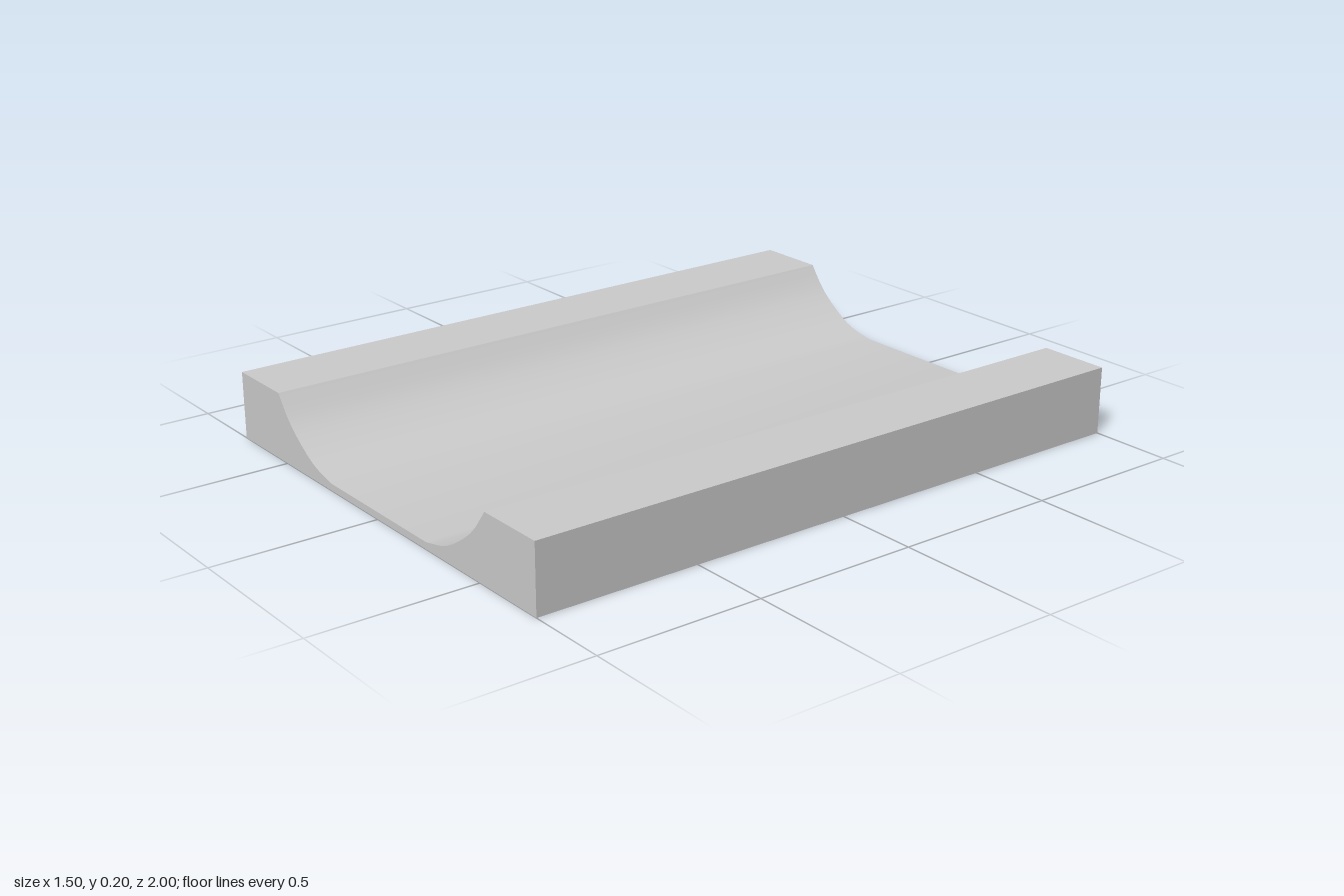
import * as THREE from 'three';
import { toCreasedNormals } from 'three/addons/utils/BufferGeometryUtils.js';

const LENGTH = 2, HALF_WIDTH = 0.75, HEIGHT = 0.205;

// One bank of the channel, from the rim down to the flat floor
const bank = [[0.53, HEIGHT], [0.475, 0.135], [0.405, 0.08], [0.335, 0.042], [0.245, 0.021]];

export function createModel() {
  const group = new THREE.Group();
  group.name = 'channelSlab';

  // Cross-section: flat slab with a shallow trough between two flat shoulders
  const curve = new THREE.SplineCurve(bank.map(([x, y]) => new THREE.Vector2(x, y)));
  const right = curve.getPoints(10);
  const left = right.map(p => new THREE.Vector2(-p.x, p.y)).reverse();
  const section = new THREE.Shape([
    new THREE.Vector2(-HALF_WIDTH, 0),
    new THREE.Vector2(HALF_WIDTH, 0),
    new THREE.Vector2(HALF_WIDTH, HEIGHT),
    ...right,
    ...left,
    new THREE.Vector2(-HALF_WIDTH, HEIGHT),
  ]);

  // Sweep along z; banks stay smooth, rims and outer edges stay sharp
  const geometry = new THREE.ExtrudeGeometry(section, { depth: LENGTH, bevelEnabled: false });
  geometry.translate(0, 0, -LENGTH / 2);
  const slab = new THREE.Mesh(
    toCreasedNormals(geometry, 0.5),
    new THREE.MeshStandardMaterial({ color: 0xcccccc }),
  );
  slab.name = 'troughSlab';
  group.add(slab);
  return group;
}
